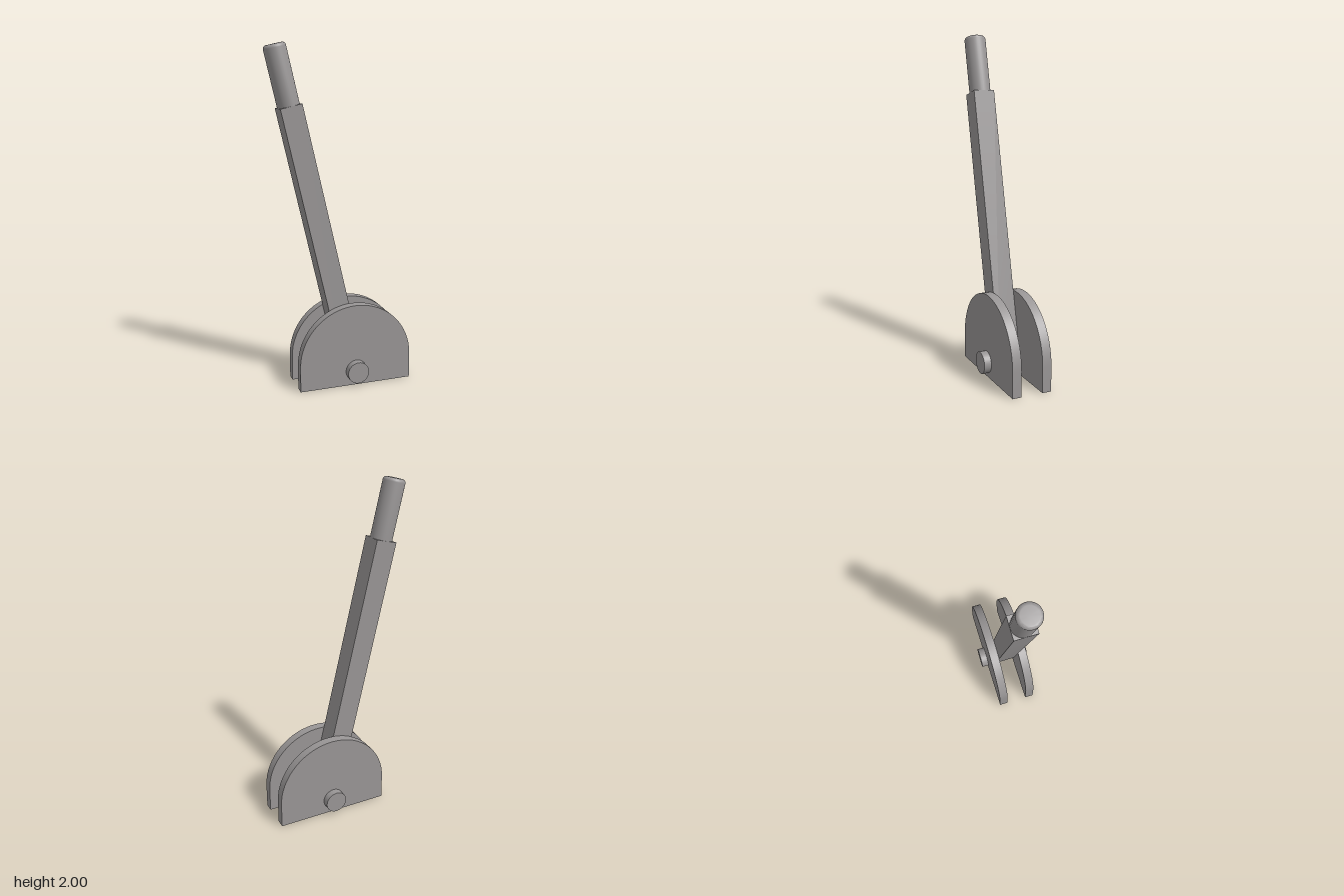
import * as THREE from 'three';
import { toCreasedNormals } from 'three/addons/utils/BufferGeometryUtils.js';

const PIN = { x: 0.075, y: 0.09, r: 0.065 };
const TILT = 0.229;       // lean of the lever towards -x
const HALF = 0.064;       // half width of lever and grip
const SHAFT_END = 1.607;  // distances from the pin along the lever
const GRIP_END = 1.95;

// Extrude a shape along z, centred on z = 0
function slab(shape, depth, curveSegments) {
  const geo = new THREE.ExtrudeGeometry(shape, { depth, bevelEnabled: false, curveSegments });
  geo.translate(0, 0, -depth / 2);
  return toCreasedNormals(geo, 0.5);
}

export function createModel() {
  const model = new THREE.Group();
  model.name = 'lever';
  const grey = new THREE.MeshStandardMaterial({ color: 0x999696 });
  grey.name = 'grey metal';

  const add = (parent, name, geometry) => {
    const mesh = new THREE.Mesh(geometry, grey);
    mesh.name = name;
    parent.add(mesh);
    return mesh;
  };

  // Two round-topped side plates
  const outline = new THREE.Shape();
  outline.moveTo(-0.346, 0);
  outline.lineTo(0.346, 0);
  outline.absarc(0, 0.15, 0.346, 0, Math.PI, false);
  outline.closePath();
  const plate = slab(outline, 0.055, 16);
  for (const side of [1, -1]) {
    add(model, side > 0 ? 'frontPlate' : 'backPlate', plate).position.set(PIN.x, 0, side * 0.0925);
  }

  // Pivot pin through both plates
  const pin = add(model, 'pivotPin', new THREE.CylinderGeometry(PIN.r, PIN.r, 0.327, 32));
  pin.rotation.x = Math.PI / 2;
  pin.position.set(PIN.x, PIN.y, 0);

  // Tilted handle, with its origin at the pin
  const handle = new THREE.Group();
  handle.name = 'handle';
  handle.position.set(PIN.x, PIN.y, 0);
  handle.rotation.z = TILT;
  model.add(handle);

  // Square shaft with a rounded lower end
  const profile = new THREE.Shape();
  profile.moveTo(HALF, SHAFT_END);
  profile.lineTo(-HALF, SHAFT_END);
  profile.absarc(0, 0, HALF, Math.PI, Math.PI * 2, false);
  profile.closePath();
  add(handle, 'shaft', slab(profile, 0.13, 16));

  // Round grip with a softened top edge
  const fillet = 0.02;
  const points = [new THREE.Vector2(HALF, SHAFT_END - 0.01)];
  for (let i = 0; i <= 6; i++) {
    const a = (i / 6) * Math.PI / 2;
    points.push(new THREE.Vector2(HALF - fillet + fillet * Math.cos(a), GRIP_END - fillet + fillet * Math.sin(a)));
  }
  points.push(new THREE.Vector2(0, GRIP_END));
  add(handle, 'grip', toCreasedNormals(new THREE.LatheGeometry(points, 32), 0.5));

  return model;
}
